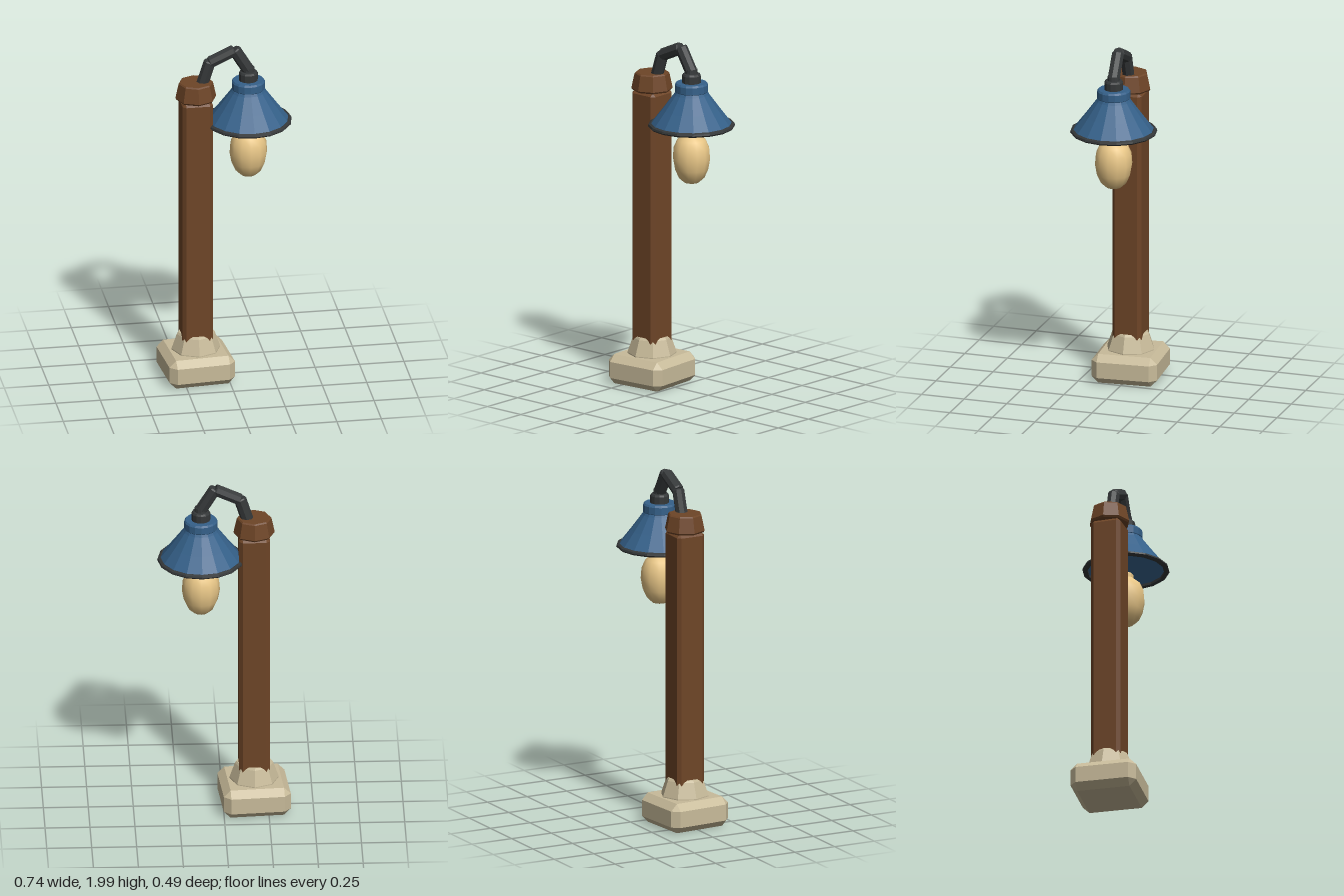
import * as THREE from 'three';
import { ConvexGeometry } from 'three/addons/geometries/ConvexGeometry.js';

const paint = (color, flatShading = true) => new THREE.MeshStandardMaterial({ color, flatShading });
const wood = paint(0x6e4527), stone = paint(0xc8bb9a), metal = paint(0x353839);
const enamel = paint(0x35618a), glass = paint(0xeac888, false);

// Box with chamfered edges and corners, centred on its origin
function chamferBox(w, h, d, c) {
  const pts = [], half = [w / 2, h / 2, d / 2];
  for (const sx of [-1, 1]) for (const sy of [-1, 1]) for (const sz of [-1, 1])
    for (let axis = 0; axis < 3; axis++) {
      const [x, y, z] = half.map((v, i) => (i === axis ? v : v - c));
      pts.push(new THREE.Vector3(sx * x, sy * y, sz * z));
    }
  return new ConvexGeometry(pts);
}

// Turned part from [radius, height] pairs, outer side running upwards
const turned = (profile, sides) =>
  new THREE.LatheGeometry(profile.map(([r, y]) => new THREE.Vector2(r, y)), sides);

export function createModel() {
  const model = new THREE.Group();
  const add = (name, geometry, material, x = 0, y = 0) => {
    const mesh = new THREE.Mesh(geometry, material);
    mesh.name = name;
    mesh.position.set(x, y, 0);
    model.add(mesh);
    return mesh;
  };
  const postX = -0.172, lampX = 0.124;

  // Stone foot, turned slightly, with its tapered collar
  add('base', chamferBox(0.375, 0.168, 0.375, 0.038), stone, postX, 0.086).rotation.y = 0.083;
  add('collar', turned([[0, 0.15], [0.137, 0.15], [0.137, 0.175], [0.107, 0.262], [0.099, 0.274], [0, 0.274]], 8), stone, postX);

  // Wooden post and its cap
  add('post', chamferBox(0.172, 1.5, 0.172, 0.02), wood, postX, 0.94);
  add('postCap', turned([[0, 1.687], [0.108, 1.687], [0.115, 1.697], [0.097, 1.782], [0.09, 1.789], [0, 1.789]], 8), wood, postX);

  // Bent arm made of three straight pipes
  const joints = [
    [[-0.14, 1.76], [-0.092, 1.91]],
    [[-0.096, 1.9], [0.046, 1.965]],
    [[0.044, 1.972], [0.13, 1.83]],
  ];
  joints.forEach(([a, b], i) => {
    const dir = new THREE.Vector3(b[0] - a[0], b[1] - a[1], 0), h = dir.length() / 2;
    const pipe = turned([[0, -h], [0.029, -h], [0.035, -h + 0.007], [0.035, h - 0.007], [0.029, h], [0, h]], 8);
    add('arm' + (i + 1), pipe, metal, (a[0] + b[0]) / 2, (a[1] + b[1]) / 2)
      .quaternion.setFromUnitVectors(new THREE.Vector3(0, 1, 0), dir.normalize());
  });

  // Socket above the shade
  add('socket', turned([[0, 1.76], [0.053, 1.76], [0.053, 1.822], [0.047, 1.832], [0.036, 1.834], [0.034, 1.858], [0, 1.858]], 12), metal, lampX);

  // Hollow conical shade, its crown and its dark rim
  add('shade', turned([
    [0.23, 1.54], [0.162, 1.628], [0.098, 1.715], [0.09, 1.73], [0, 1.73],
    [0, 1.712], [0.085, 1.71], [0.216, 1.54], [0.23, 1.54],
  ], 16), enamel, lampX);
  add('shadeCrown', turned([[0, 1.722], [0.086, 1.722], [0.093, 1.732], [0.093, 1.771], [0.086, 1.781], [0, 1.781]], 16), enamel, lampX);
  add('shadeRim', turned([
    [0.214, 1.528], [0.234, 1.525], [0.243, 1.534], [0.24, 1.544], [0.228, 1.55], [0.214, 1.545], [0.214, 1.528],
  ], 16), metal, lampX);

  // Light bulb with a short neck
  add('bulb', turned([
    [0, 1.2], [0.042, 1.208], [0.073, 1.236], [0.095, 1.285], [0.106, 1.345],
    [0.101, 1.405], [0.08, 1.452], [0.045, 1.482], [0, 1.49],
  ], 12), glass, lampX);
  add('bulbNeck', turned([[0, 1.47], [0.043, 1.47], [0.043, 1.503], [0.036, 1.513], [0, 1.513]], 12), paint(0xeac888), lampX);

  return model;
}
